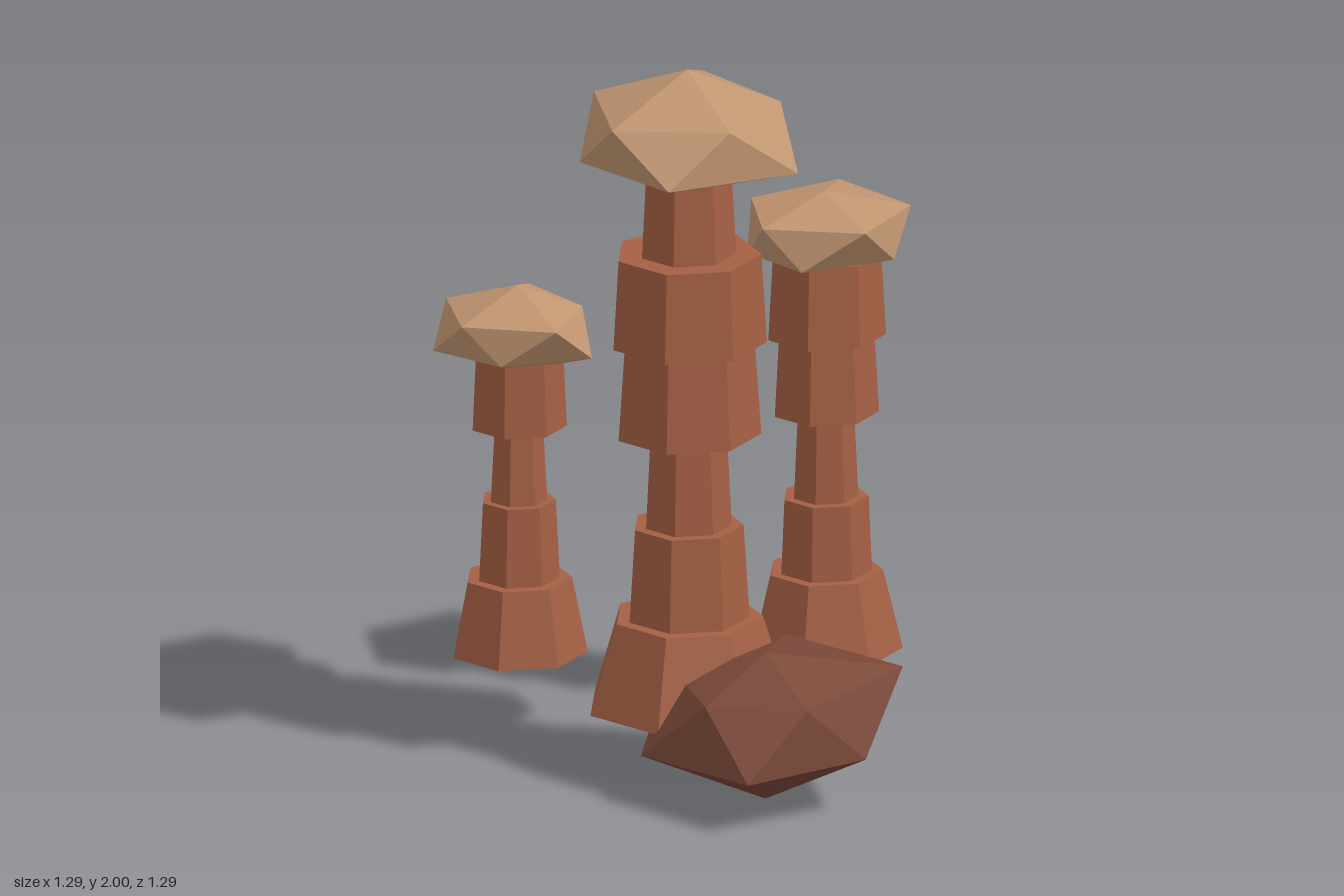
import * as THREE from 'three';

export function createModel() {
  const group = new THREE.Group();
  const mat = (name, color) => {
    const m = new THREE.MeshStandardMaterial({ color, flatShading: true });
    m.name = name;
    return m;
  };
  const clay = mat('red clay', 0xa56044);
  const sand = mat('pale sandstone', 0xc09470);
  const dark = mat('dark rock', 0x7a4838);

  // Rough twenty-sided stone: two poles and two staggered rings of five points.
  function stone(name, material, top, upper, lower, bottom) {
    const pos = [];
    const tri = (...pts) => pts.forEach((p) => pos.push(...p));
    for (let k = 0; k < 5; k++) {
      const n = (k + 1) % 5;
      tri(top, upper[n], upper[k]);
      tri(upper[k], upper[n], lower[k]);
      tri(lower[k], upper[n], lower[n]);
      tri(bottom, lower[k], lower[n]);
    }
    const geo = new THREE.BufferGeometry();
    geo.setAttribute('position', new THREE.Float32BufferAttribute(pos, 3));
    geo.computeVertexNormals();
    const mesh = new THREE.Mesh(geo, material);
    mesh.name = name;
    return mesh;
  }

  // Stacked seven-sided drums (bottom y, top y, bottom radius, top radius) under a cap stone.
  function pillar({ name, x, z, drums, capTop, capBottom, yUpper, yLower, upper, lower }) {
    const p = new THREE.Group();
    p.name = name;
    drums.forEach(([y0, y1, r0, r1], i) => {
      const geo = new THREE.CylinderGeometry(r1, r0, y1 - y0, 7, 1, false, Math.PI);
      const drum = new THREE.Mesh(geo, clay);
      drum.name = i === 0 ? 'pillarBase' : 'pillarDrum' + i;
      drum.position.set(x, (y0 + y1) / 2, z);
      p.add(drum);
    });
    p.add(stone('capStone', sand, [x, capTop, z],
      upper.map(([a, b]) => [a, yUpper, b]),
      lower.map(([a, b]) => [a, yLower, b]), [x, capBottom, z]));
    group.add(p);
  }

  pillar({
    name: 'tallPillar', x: -0.04, z: 0.077,
    drums: [
      [0.2, 0.45, 0.282, 0.205], [0.45, 0.71, 0.168, 0.152], [0.71, 0.97, 0.12, 0.107],
      [0.97, 1.23, 0.2, 0.182], [1.23, 1.48, 0.215, 0.2], [1.48, 1.71, 0.132, 0.12],
    ],
    capTop: 2, capBottom: 1.655, yUpper: 1.895, yLower: 1.753,
    upper: [[0.215, 0.076], [0.036, 0.32], [-0.274, 0.248], [-0.267, -0.09], [0.053, -0.214]],
    lower: [[0.23, 0.27], [-0.14, 0.37], [-0.333, 0.076], [-0.13, -0.19], [0.15, -0.08]],
  });

  pillar({
    name: 'middlePillar', x: 0.405, z: -0.334,
    drums: [
      [0.2, 0.42, 0.21, 0.157], [0.42, 0.63, 0.127, 0.118], [0.63, 0.87, 0.09, 0.079],
      [0.87, 1.09, 0.146, 0.134], [1.09, 1.32, 0.165, 0.152],
    ],
    capTop: 1.495, capBottom: 1.275, yUpper: 1.44, yLower: 1.328,
    upper: [[0.64, -0.334], [0.478, -0.114], [0.212, -0.197], [0.226, -0.465], [0.485, -0.583]],
    lower: [[0.574, -0.214], [0.31, -0.145], [0.193, -0.334], [0.33, -0.577], [0.595, -0.476]],
  });

  pillar({
    name: 'shortPillar', x: -0.415, z: -0.44,
    drums: [
      [0.2, 0.41, 0.188, 0.146], [0.41, 0.63, 0.113, 0.102], [0.63, 0.84, 0.079, 0.068],
      [0.84, 1.06, 0.132, 0.122],
    ],
    capTop: 1.238, capBottom: 0.995, yUpper: 1.168, yLower: 1.063,
    upper: [[-0.24, -0.44], [-0.347, -0.224], [-0.59, -0.314], [-0.59, -0.565], [-0.35, -0.65]],
    lower: [[-0.236, -0.303], [-0.49, -0.27], [-0.647, -0.44], [-0.48, -0.625], [-0.236, -0.565]],
  });

  // Fallen boulder at the front
  group.add(stone('boulder', dark, [0.13, 0.42, 0.335],
    [[0.505, 0.36, 0.335], [0.205, 0.325, 0.563], [-0.057, 0.32, 0.47], [-0.1, 0.33, 0.16], [0.24, 0.355, 0]],
    [[0.374, 0.16, 0.51], [0.03, 0.15, 0.645], [-0.21, 0.145, 0.333], [0.03, 0.145, 0.0], [0.34, 0.155, 0.17]],
    [0.13, 0.005, 0.335]));

  return group;
}
